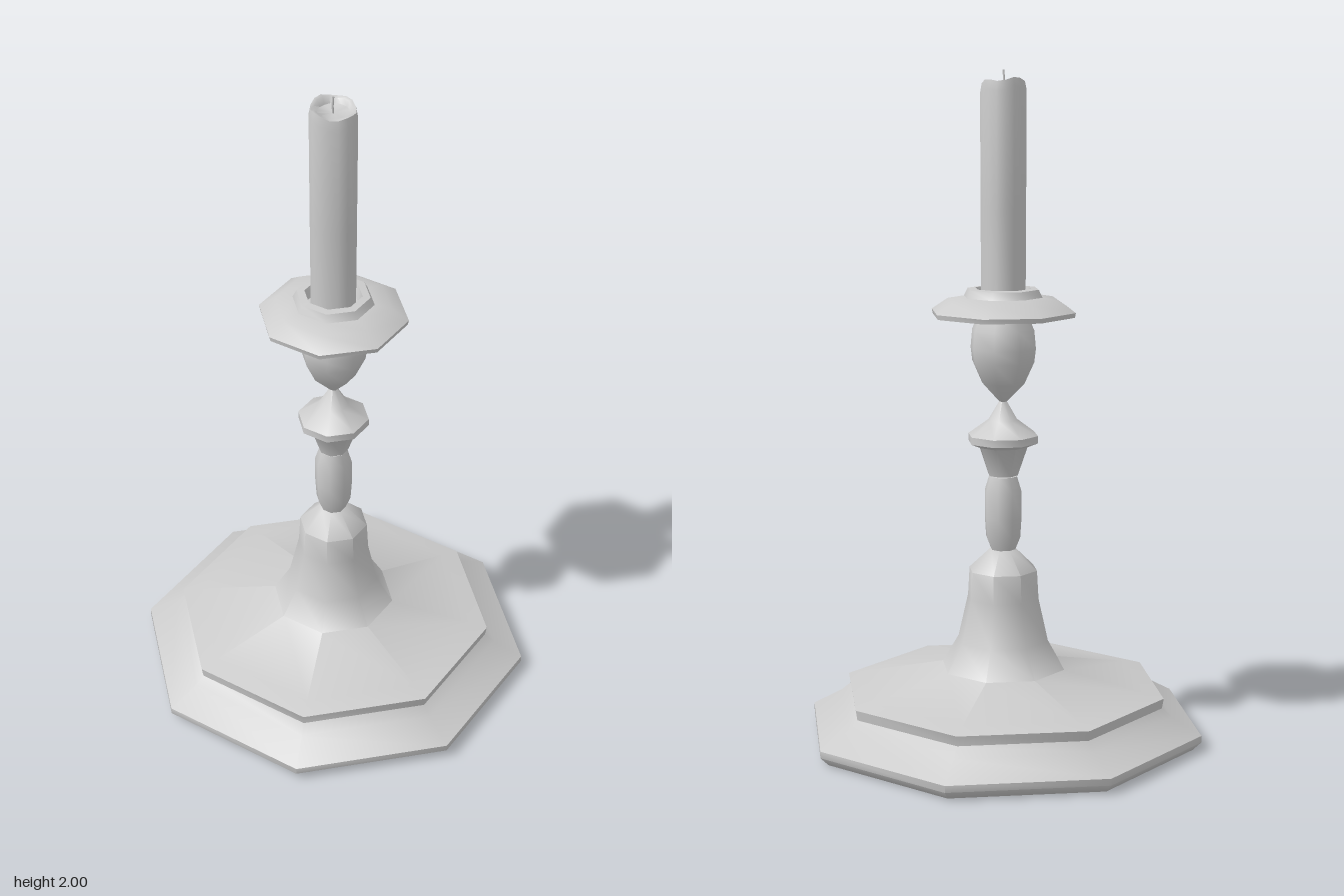
import * as THREE from 'three';
import { toCreasedNormals } from 'three/addons/utils/BufferGeometryUtils.js';

const material = new THREE.MeshStandardMaterial({ color: 0xcccccc, side: THREE.DoubleSide });

// Turned part from [radius, height] points, smooth except at sharp steps
function turned(name, points, sides = 8) {
  const profile = points.map(([r, y]) => new THREE.Vector2(r, y));
  const geometry = toCreasedNormals(new THREE.LatheGeometry(profile, sides), 0.9);
  const mesh = new THREE.Mesh(geometry, material);
  mesh.name = name;
  return mesh;
}

// Candle with an uneven, slanted rim around a shallow pool
function makeCandle() {
  const sides = 16;
  const rimStart = 1.9;
  const profile = [[0.066, 1.33], [0.067, 1.6], [0.068, 1.94], [0.063, 1.967], [0.054, 1.965], [0.045, 1.955], [0, 1.95]];
  const geometry = new THREE.LatheGeometry(profile.map(([r, y]) => new THREE.Vector2(r, y)), sides);
  const pos = geometry.attributes.position;
  for (let i = 0; i < pos.count; i++) {
    const x = pos.getX(i), y = pos.getY(i), z = pos.getZ(i);
    const a = Math.atan2(x, z);
    const swell = 1 + 0.03 * Math.sin(3 * a + 0.6) + 0.015 * Math.cos(5 * a);
    const isRim = y > rimStart && Math.hypot(x, z) > 0.05;
    const lift = isRim ? -0.13 * z + 0.005 * Math.sin(4 * a + 1) : 0;
    pos.setXYZ(i, x * swell, y + lift, z * swell);
  }
  const mesh = new THREE.Mesh(toCreasedNormals(geometry, 0.9), material);
  mesh.name = 'candle';
  return mesh;
}

// Thin, slightly bent wick
function makeWick() {
  const path = new THREE.CatmullRomCurve3([
    new THREE.Vector3(0, 1.94, 0),
    new THREE.Vector3(-0.003, 1.97, 0),
    new THREE.Vector3(-0.002, 2.0, 0.002),
  ]);
  const mesh = new THREE.Mesh(new THREE.TubeGeometry(path, 4, 0.003, 5), material);
  mesh.name = 'wick';
  return mesh;
}

export function createModel() {
  const model = new THREE.Group();
  model.name = 'candlestick';

  // Hollow octagonal foot: inside surface first, then rim, step and bell
  model.add(turned('foot', [
    [0, 0.54], [0.09, 0.5], [0.125, 0.3], [0.18, 0.205], [0.43, 0.145], [0.48, 0.13],
    [0.51, 0.09], [0.585, 0.04], [0.575, 0.005],
    [0.585, 0.005], [0.61, 0.03], [0.61, 0.05], [0.52, 0.10], [0.49, 0.125],
    [0.495, 0.155], [0.44, 0.167], [0.19, 0.22], [0.14, 0.305], [0.11, 0.435],
    [0.105, 0.52], [0.04, 0.582], [0, 0.585],
  ]));

  // Stem
  model.add(turned('stemColumn', [
    [0, 0.575], [0.037, 0.58], [0.053, 0.62], [0.057, 0.68], [0.057, 0.76], [0.043, 0.805], [0, 0.808],
  ]));
  model.add(turned('stemKnop', [
    [0, 0.803], [0.045, 0.808], [0.075, 0.895], [0.107, 0.908], [0.107, 0.93],
    [0.045, 0.975], [0.012, 1.03],
  ]));
  model.add(turned('stemBulb', [
    [0.012, 1.03], [0.065, 1.085], [0.095, 1.15], [0.1, 1.19], [0.095, 1.245], [0.075, 1.29],
  ]));

  // Drip pan with candle socket
  model.add(turned('dripPan', [
    [0.072, 1.285], [0.11, 1.3], [0.185, 1.302], [0.208, 1.285], [0.217, 1.286], [0.22, 1.3],
    [0.17, 1.333], [0.12, 1.342], [0.108, 1.365], [0.085, 1.367], [0.075, 1.335], [0, 1.332],
  ]));

  model.add(makeCandle(), makeWick());
  return model;
}
